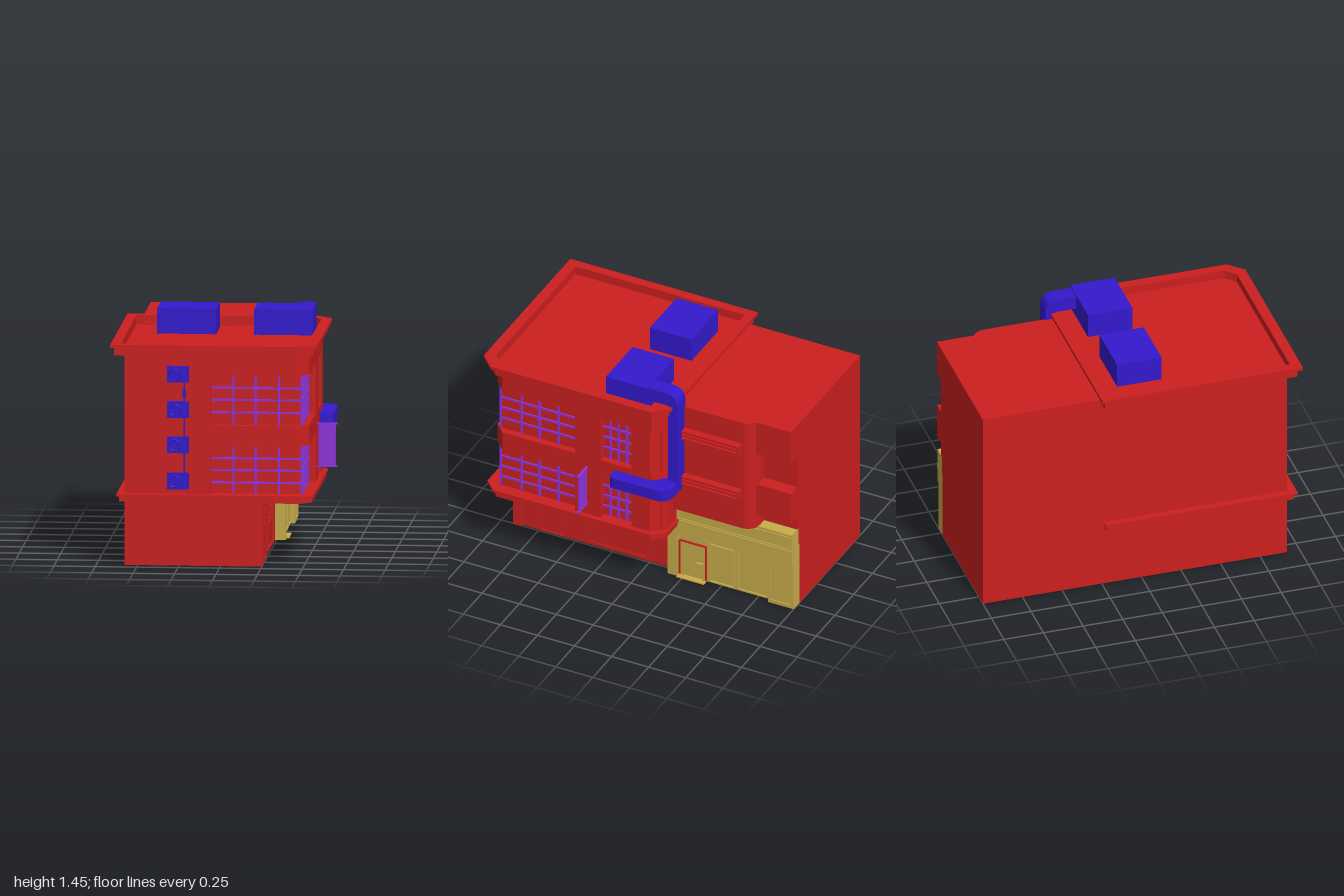
import * as THREE from 'three';

const mat = (color) => new THREE.MeshStandardMaterial({ color, flatShading: true });
const RED = mat(0xcc1f1f), BLUE = mat(0x3319cc), PURPLE = mat(0x9033dd), YELLOW = mat(0xc8ac4a);

export function createModel() {
  const model = new THREE.Group();
  model.name = 'cornerBuilding';

  const add = (name, geo, m) => {
    const mesh = new THREE.Mesh(geo, m);
    mesh.name = name;
    model.add(mesh);
    return mesh;
  };
  // Box given by its limits
  const box = (name, m, x0, x1, y0, y1, z0, z1) => {
    const g = new THREE.BoxGeometry(x1 - x0, y1 - y0, z1 - z0);
    g.translate((x0 + x1) / 2, (y0 + y1) / 2, (z0 + z1) / 2);
    return add(name, g, m);
  };
  // Plan outline with both +x corners cut off
  const plan = (x0, x1, z0, z1, c) => [
    [x0, z1], [x1 - c, z1], [x1, z1 - c], [x1, z0 + c], [x1 - c, z0], [x0, z0],
  ].map(([x, z]) => new THREE.Vector2(x, -z));
  // Extrude a plan upwards from y0 to y1
  const slab = (name, m, shape, y0, y1) => {
    const g = new THREE.ExtrudeGeometry(shape, { depth: y1 - y0, bevelEnabled: false, curveSegments: 8 });
    g.rotateX(-Math.PI / 2).translate(0, y0, 0);
    return add(name, g, m);
  };
  // Raised rectangular frame on a wall facing +x
  const frame = (name, m, x, d, y0, y1, z0, z1, t = 0.008) => {
    const s = new THREE.Shape([[z0, y0], [z1, y0], [z1, y1], [z0, y1]].map(([z, y]) => new THREE.Vector2(-z, y)));
    s.holes.push(new THREE.Path([[z0 + t, y0 + t], [z0 + t, y1 - t], [z1 - t, y1 - t], [z1 - t, y0 + t]]
      .map(([z, y]) => new THREE.Vector2(-z, y))));
    const g = new THREE.ExtrudeGeometry(s, { depth: d, bevelEnabled: false });
    g.rotateY(Math.PI / 2).translate(x, 0, 0);
    return add(name, g, m);
  };

  // Main block: recessed core wrapped by full-width bands
  box('groundFloor', RED, -0.58, 0.24, 0, 0.4, -0.3, 0.92);
  box('groundPilaster', RED, 0.2, 0.255, 0, 0.4, 0.86, 0.92);
  box('upperCore', RED, -0.58, 0.485, 0.4, 1.29, -0.2, 0.88);
  const body = new THREE.Shape(plan(-0.58, 0.53, -0.225, 0.92, 0.07));
  slab('middleBand', RED, body, 0.73, 0.855);
  slab('topBand', RED, body, 1.16, 1.29);
  const rearPier = new THREE.Shape([[0.4, 0.02], [0.53, 0.02], [0.53, 0.145], [0.455, 0.225], [-0.58, 0.225], [-0.58, 0.15], [0.4, 0.15]]
    .map(([x, y]) => new THREE.Vector2(x, y)));

  // Window storeys: wall pieces and glazing bars
  for (const [y0, y1] of [[0.43, 0.73], [0.855, 1.16]]) {
    box('frontWall', RED, -0.58, -0.06, y0, y1, 0.86, 0.92);
    box('sideWall', RED, 0.4, 0.53, y0, y1, 0.19, 0.36);
    slab('rearPier', RED, rearPier, y0, y1);
    const b = 0.006;
    for (const x of [0.075, 0.21, 0.35]) box('frontWindowBar', PURPLE, x - b, x + b, y0, y1, 0.87, 0.892);
    for (const z of [0.74, 0.62, 0.49]) box('sideWindowBar', PURPLE, 0.475, 0.497, y0, y1, z - b, z + b);
    for (const z of [0.14, 0.085, 0.03]) box('smallWindowBar', PURPLE, 0.475, 0.497, y0, y1, z - b, z + b);
    box('windowCornerPost', PURPLE, 0.482, 0.494, y0, y1, 0.877, 0.889);
    for (const f of [0.25, 0.5, 0.74]) {
      const y = y0 + (y1 - y0) * f;
      box('frontWindowRail', PURPLE, -0.06, 0.492, y - b, y + b, 0.87, 0.89);
      box('sideWindowRail', PURPLE, 0.475, 0.495, y - b, y + b, 0.36, 0.888);
      box('smallWindowRail', PURPLE, 0.475, 0.495, y - b, y + b, -0.02, 0.19);
    }
  }

  // Lower cornice
  slab('lowerCornice', RED, new THREE.Shape(plan(-0.61, 0.55, -0.23, 0.955, 0.07)), 0.39, 0.43);
  slab('lowerCorniceCap', RED, new THREE.Shape(plan(-0.625, 0.56, -0.24, 0.975, 0.075)), 0.425, 0.438);

  // Roof cornice with sunken roof
  const ring = (x0, x1, z0, z1, c) => {
    const s = new THREE.Shape(plan(x0, x1, z0, z1, c));
    s.holes.push(new THREE.Path(plan(-0.6, 0.52, -0.21, 0.93, 0.06).reverse()));
    return s;
  };
  slab('roofFloor', RED, new THREE.Shape(plan(-0.64, 0.56, -0.25, 0.965, 0.08)), 1.28, 1.295);
  slab('roofCornice', RED, ring(-0.64, 0.56, -0.25, 0.965, 0.08), 1.295, 1.33);
  slab('roofCorniceCap', RED, ring(-0.66, 0.583, -0.27, 0.995, 0.09), 1.33, 1.35);

  // Rear wing with rounded bay and projecting rear bands
  box('rearWing', RED, -0.58, 0.255, 0, 1.31, -1, -0.2);
  const bay = new THREE.Shape();
  bay.moveTo(0.1, 0.2);
  bay.lineTo(0.385, 0.2);
  bay.lineTo(0.385, 0.69);
  bay.absarc(0.3, 0.69, 0.085, 0, Math.PI / 2, false);
  bay.lineTo(0.1, 0.775);
  slab('roundedBay', RED, bay, 0.545, 1.31);
  box('rearTopBand', RED, 0.2, 0.34, 1.08, 1.31, -1, -0.74);
  box('rearMiddleBand', RED, 0.2, 0.34, 0.64, 0.86, -1, -0.74);
  for (const y of [0.765, 1.095]) {
    box('bayLedge', RED, 0.36, 0.415, y, y + 0.065, -0.69, -0.25);
    frame('bayLedgeFrame', RED, 0.415, 0.015, y, y + 0.065, -0.69, -0.25, 0.014);
    box('bayLedgeSlat', RED, 0.4, 0.425, y + 0.024, y + 0.038, -0.68, -0.25);
  }

  // Ground floor door, windows and panel
  frame('sideDoorFrame', RED, 0.24, 0.008, 0.005, 0.315, 0.575, 0.745);
  frame('sideDoorPane', RED, 0.24, 0.006, 0.215, 0.29, 0.595, 0.725);
  for (const z of [0.005, 0.147, 0.289]) frame('groundWindow', RED, 0.24, 0.008, 0.205, 0.315, z, z + 0.128);
  frame('groundPanel', RED, 0.24, 0.008, 0.02, 0.185, 0.01, 0.41);

  // Shop front
  box('shopWall', YELLOW, 0.23, 0.275, 0, 0.4, -1, -0.15);
  box('shopFrontPier', YELLOW, 0.23, 0.305, 0, 0.34, -0.215, -0.15);
  box('shopRearPier', YELLOW, 0.23, 0.305, 0, 0.34, -1, -0.825);
  box('shopFascia', YELLOW, 0.23, 0.33, 0.325, 0.425, -1, -0.15);
  box('shopFasciaLip', YELLOW, 0.23, 0.336, 0.415, 0.435, -1, -0.15);
  const board = new THREE.Shape();
  board.moveTo(0.21, 0.43);
  board.lineTo(1, 0.43);
  board.lineTo(1, 0.55);
  board.lineTo(0.24, 0.55);
  board.quadraticCurveTo(0.21, 0.55, 0.21, 0.52);
  const boardGeo = new THREE.ExtrudeGeometry(board, { depth: 0.09, bevelEnabled: false, curveSegments: 6 });
  add('shopBoard', boardGeo.rotateY(Math.PI / 2).translate(0.24, 0, 0), YELLOW);
  frame('shopBoardFrame', YELLOW, 0.33, 0.006, 0.44, 0.535, -0.995, -0.225, 0.01);
  frame('shopDoorSurround', RED, 0.275, 0.012, 0, 0.255, -0.4, -0.215);
  box('shopDoor', YELLOW, 0.27, 0.28, 0, 0.245, -0.39, -0.225);
  box('shopDoorHandle', YELLOW, 0.275, 0.295, 0.115, 0.125, -0.38, -0.335);
  frame('shopWindow', YELLOW, 0.275, 0.012, 0.01, 0.285, -0.59, -0.42);
  frame('shopSidePanel', YELLOW, 0.275, 0.01, 0.01, 0.315, -0.815, -0.61);
  frame('shopRearPanel', YELLOW, 0.305, 0.006, 0.02, 0.32, -0.99, -0.84);
  box('shopStep', YELLOW, 0.25, 0.32, 0, 0.008, -0.4, -0.215);

  // Wall cooling units joined by a pipe
  for (const y of [0.518, 0.738, 0.953, 1.168]) {
    box('wallUnit', BLUE, -0.32, -0.19, y - 0.048, y + 0.048, 0.915, 0.96);
    const fan = add('wallUnitFan', new THREE.TorusGeometry(0.034, 0.003, 4, 20), BLUE);
    fan.position.set(-0.273, y, 0.961);
    box('fanBar', BLUE, -0.307, -0.239, y - 0.002, y + 0.002, 0.957, 0.965);
    box('fanPost', BLUE, -0.275, -0.271, y - 0.034, y + 0.034, 0.957, 0.965);
  }
  box('wallPipe', BLUE, -0.219, -0.211, 0.56, 1.13, 0.95, 0.958);
  box('pipeJoint', BLUE, -0.226, -0.206, 1.03, 1.075, 0.943, 0.973);

  // Rooftop units with louvres
  for (const x of [-0.445, 0.14]) {
    box('roofUnit', BLUE, x, x + 0.355, 1.29, 1.45, -0.11, 0.158);
    box('roofUnitTopLip', BLUE, x, x + 0.355, 1.437, 1.45, 0.15, 0.17);
    for (const s of [x, x + 0.343]) box('roofUnitSideLip', BLUE, s, s + 0.012, 1.29, 1.45, 0.15, 0.17);
    for (let i = 0; i < 8; i++) {
      const y = 1.3 + i * 0.017;
      box('louvre', BLUE, x + 0.01, x + 0.345, y, y + 0.009, 0.15, 0.168);
    }
  }

  // Duct: over the roof edge, down the rear, then round to the side
  const bend = new THREE.Shape();
  bend.moveTo(0.1, 1.355);
  bend.lineTo(0.1, 1.44);
  bend.lineTo(0.23, 1.44);
  bend.quadraticCurveTo(0.305, 1.44, 0.305, 1.355);
  bend.lineTo(0.305, 0.74);
  bend.lineTo(0.24, 0.74);
  bend.lineTo(0.24, 1.355);
  const bendGeo = new THREE.ExtrudeGeometry(bend, { depth: 0.105, bevelEnabled: false, curveSegments: 6 });
  add('roofDuct', bendGeo.rotateY(Math.PI / 2).translate(0.375, 0, 0), BLUE);
  const run = new THREE.Shape();
  run.moveTo(0.375, 0.23);
  run.lineTo(0.375, 0.305);
  run.lineTo(0.53, 0.305);
  run.quadraticCurveTo(0.613, 0.3, 0.613, 0.22);
  run.lineTo(0.613, -0.06);
  run.quadraticCurveTo(0.613, -0.095, 0.575, -0.095);
  run.lineTo(0.525, -0.095);
  run.lineTo(0.525, 0.15);
  run.lineTo(0.45, 0.23);
  slab('sideDuct', BLUE, run, 0.74, 0.813);

  // Hanging panel on the side wall
  box('hangingPanel', PURPLE, 0.54, 0.643, 0.52, 0.78, 0.275, 0.285);
  for (const y of [0.515, 0.775]) box('hangingBracket', PURPLE, 0.525, 0.655, y, y + 0.008, 0.272, 0.288);

  return model;
}
